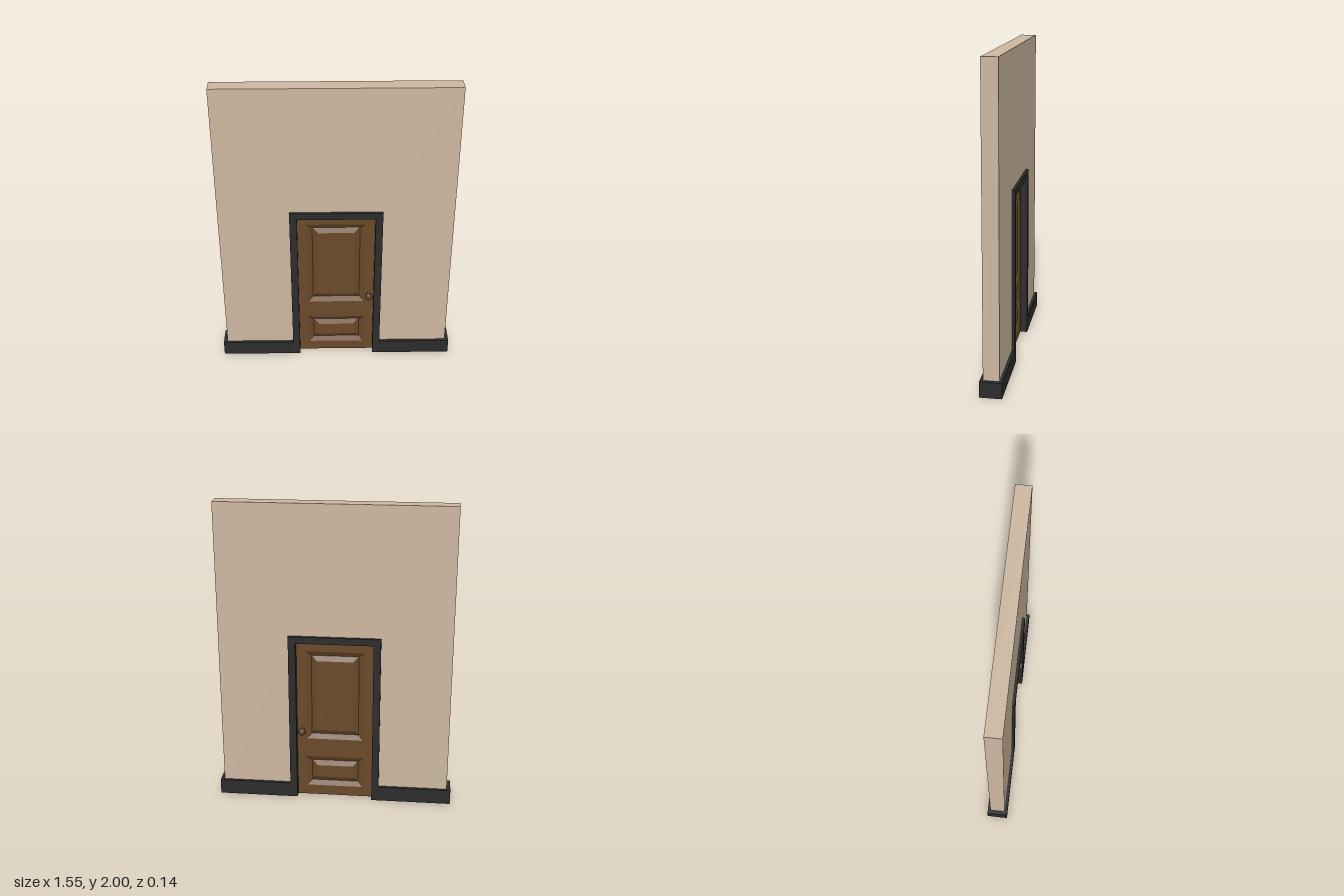
import * as THREE from 'three';

const mat = (name, color) => {
  const m = new THREE.MeshStandardMaterial({ color });
  m.name = name;
  return m;
};

// Rectangular panel made of stepped rings: rim, groove bottom, raised field
function panelGeometry(w, h, inset, depth) {
  const ring = (i, z) => {
    const x = w / 2 - i, y = h / 2 - i;
    return [[-x, -y, z], [x, -y, z], [x, y, z], [-x, y, z]];
  };
  const rings = [ring(0, 0), ring(inset, -depth), ring(inset * 2, 0)];
  const pos = [];
  const quad = (a, b, c, d) => pos.push(...a, ...b, ...c, ...a, ...c, ...d);
  for (let r = 0; r < 2; r++) {
    for (let k = 0; k < 4; k++) {
      const n = (k + 1) % 4;
      quad(rings[r][k], rings[r][n], rings[r + 1][n], rings[r + 1][k]);
    }
  }
  quad(...rings[2]);
  const g = new THREE.BufferGeometry();
  g.setAttribute('position', new THREE.Float32BufferAttribute(pos, 3));
  g.computeVertexNormals();
  return g;
}

export function createModel() {
  const model = new THREE.Group();
  model.name = 'wallWithDoor';
  const plaster = mat('beige plaster', 0xcdb8a0);
  const trim = mat('charcoal trim', 0x2c2c2c);
  const wood = mat('brown wood', 0x6b4a2a);
  const bronze = mat('dark bronze', 0x5c4228);

  const add = (parent, name, geometry, material, x = 0, y = 0, z = 0) => {
    const mesh = new THREE.Mesh(geometry, material);
    mesh.name = name;
    mesh.position.set(x, y, z);
    parent.add(mesh);
    return mesh;
  };
  const box = (name, x0, x1, y0, y1, depth, material) =>
    add(model, name, new THREE.BoxGeometry(x1 - x0, y1 - y0, depth), material,
      (x0 + x1) / 2, (y0 + y1) / 2, 0);

  // Wall with a doorway cut out of its lower edge
  const s = new THREE.Shape();
  [[-0.75, 0.02], [-0.28, 0.02], [-0.28, 1.13], [0.28, 1.13], [0.28, 0.02],
    [0.75, 0.02], [0.75, 2], [-0.75, 2]].forEach(([x, y], i) => (i ? s.lineTo(x, y) : s.moveTo(x, y)));
  const wall = new THREE.ExtrudeGeometry(s, { depth: 0.1, bevelEnabled: false });
  add(model, 'wall', wall, plaster, 0, 0, -0.05);

  // Door casing and skirting
  const trimDepth = 0.138;
  box('leftCasing', 0.25, 0.297, 0, 1.105, trimDepth, trim);
  box('rightCasing', -0.297, -0.25, 0, 1.105, trimDepth, trim);
  box('topCasing', -0.297, 0.297, 1.105, 1.15, trimDepth, trim);
  box('leftSkirting', 0.297, 0.775, 0, 0.1, trimDepth, trim);
  box('rightSkirting', -0.775, -0.297, 0, 0.1, trimDepth, trim);

  // Door leaf with openings for the panels
  const door = new THREE.Group();
  door.name = 'door';
  model.add(door);
  const half = 0.022;
  const panels = [
    { name: 'upperPanel', y0: 0.417, y1: 1.038 },
    { name: 'lowerPanel', y0: 0.069, y1: 0.286 },
  ];
  const pw = 0.375;
  const leaf = new THREE.Shape([[-0.25, 0], [0.25, 0], [0.25, 1.105], [-0.25, 1.105]]
    .map(([x, y]) => new THREE.Vector2(x, y)));
  for (const p of panels) {
    leaf.holes.push(new THREE.Path([[-pw / 2, p.y0], [-pw / 2, p.y1], [pw / 2, p.y1], [pw / 2, p.y0]]
      .map(([x, y]) => new THREE.Vector2(x, y))));
  }
  add(door, 'doorLeaf', new THREE.ExtrudeGeometry(leaf, { depth: half * 2, bevelEnabled: false }),
    wood, 0, 0, -half);

  // Knob profile, turned about its axis
  const knobProfile = [[0.016, 0], [0.016, 0.005], [0.008, 0.007], [0.008, 0.018], [0.019, 0.023],
    [0.025, 0.033], [0.023, 0.042], [0.014, 0.048], [0, 0.05]]
    .map(([r, y]) => new THREE.Vector2(r, y));
  const knobGeometry = new THREE.LatheGeometry(knobProfile, 20).rotateX(Math.PI / 2);

  // Panels and knob on both faces
  for (const side of [1, -1]) {
    const face = new THREE.Group();
    face.name = side > 0 ? 'frontFace' : 'backFace';
    if (side < 0) face.rotation.y = Math.PI;
    door.add(face);
    for (const p of panels) {
      add(face, p.name, panelGeometry(pw, p.y1 - p.y0, 0.033, 0.018), wood, 0, (p.y0 + p.y1) / 2, half);
    }
    add(face, 'knob', knobGeometry, bronze, side * 0.217, 0.478, half);
  }
  return model;
}
